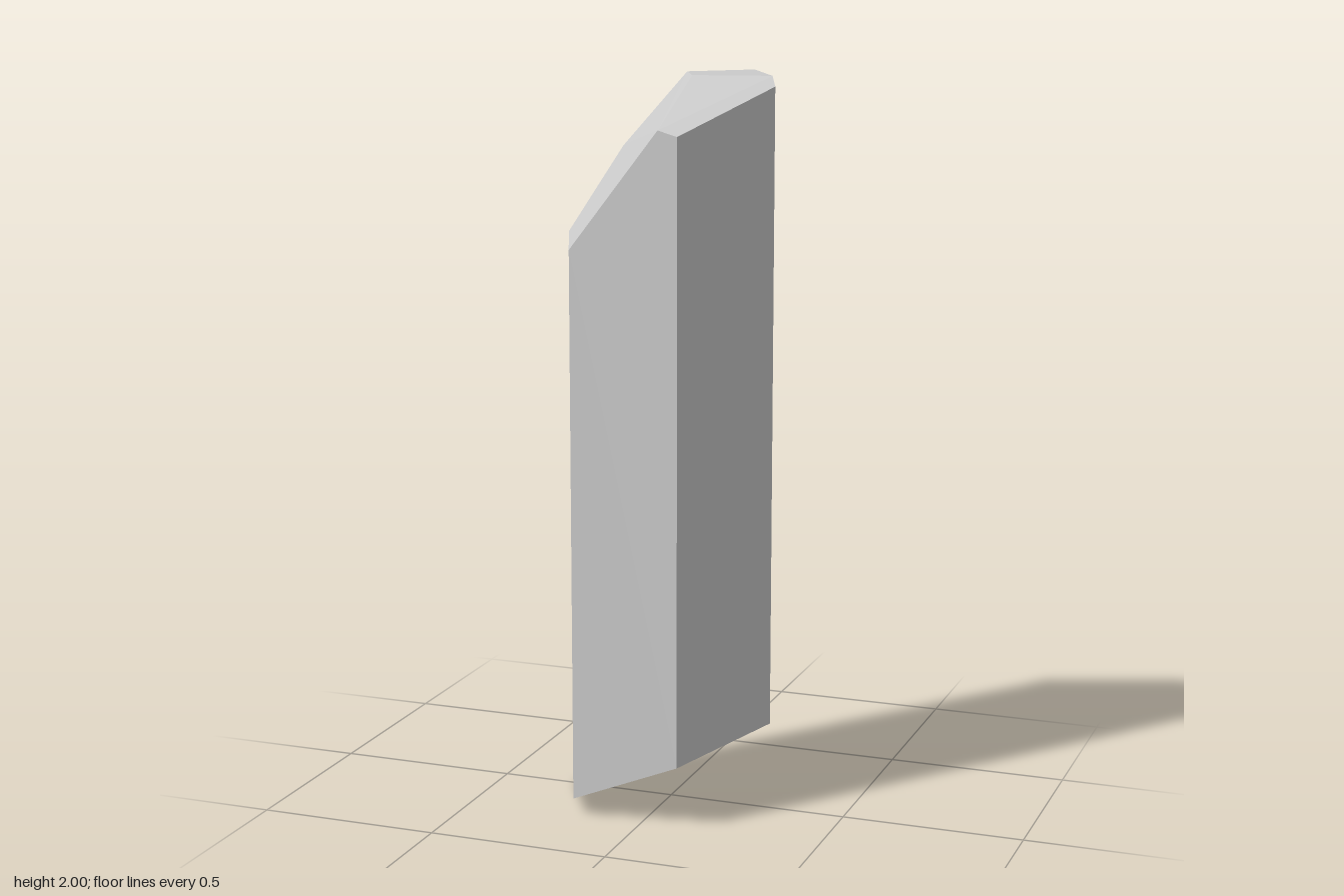
import * as THREE from 'three';
import { ConvexGeometry } from 'three/addons/geometries/ConvexGeometry.js';

// Six-sided outline of the shaft: x, z and the height of each corner at the top
const corners = [
  [-0.295, 0, 1.57],
  [-0.195, 0.242, 1.555],
  [0.112, 0.26, 1.86],
  [0.295, 0.022, 1.975],
  [0.135, -0.26, 1.96],
  [-0.157, -0.24, 1.76],
];

// Slanted cut across the foot
const footHeight = (x, z) => 0.423 * (x + 0.295) + 0.02 * z;

// Point on the wall between two neighbouring corners, at a given height
function onWall(a, b, t, y) {
  const [p, q] = [corners[a], corners[b]];
  return new THREE.Vector3(
    THREE.MathUtils.lerp(p[0], q[0], t), y, THREE.MathUtils.lerp(p[1], q[1], t));
}

export function createModel() {
  const group = new THREE.Group();
  group.name = 'crystal';

  const points = [];
  for (const [x, z, top] of corners) {
    points.push(new THREE.Vector3(x, footHeight(x, z), z));
    points.push(new THREE.Vector3(x, top, z));
  }

  // Where the tip facets meet the walls
  points.push(onWall(1, 2, 0.825, 1.875), onWall(0, 5, 0.688, 1.79));

  // Flat tip: two corners on the wall, two inside the outline
  points.push(
    onWall(3, 4, 0.113, 2),
    onWall(3, 4, 0.858, 2),
    new THREE.Vector3(0.012, 2, -0.09),
    new THREE.Vector3(0.072, 2, 0.037),
  );

  const shard = new THREE.Mesh(
    new ConvexGeometry(points),
    new THREE.MeshStandardMaterial({ color: 0xcccccc, flatShading: true }),
  );
  shard.name = 'crystalShard';
  group.add(shard);
  return group;
}
